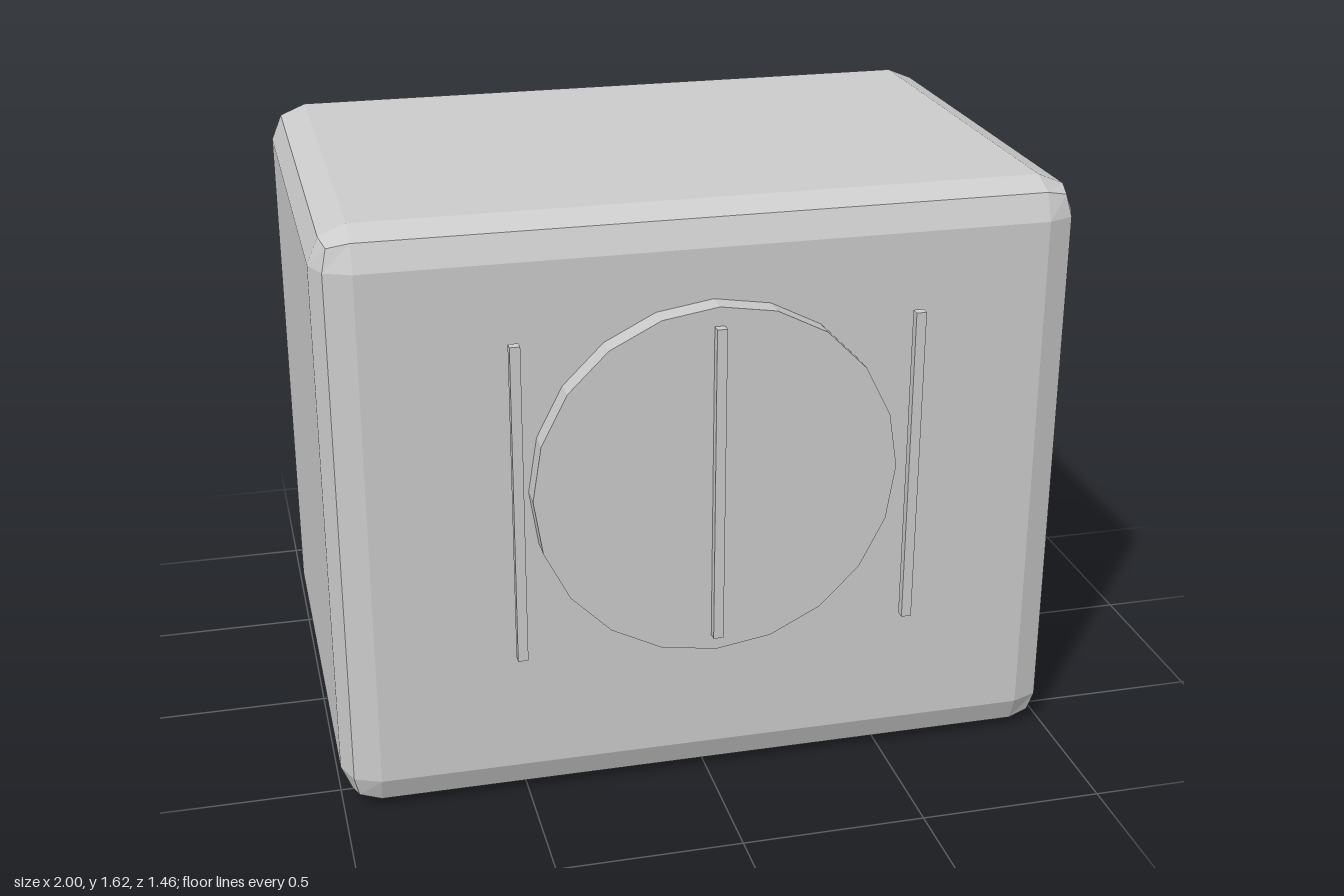
import * as THREE from 'three';
import { RoundedBoxGeometry } from 'three/addons/geometries/RoundedBoxGeometry.js';

export function createModel() {
  const group = new THREE.Group();
  const material = new THREE.MeshStandardMaterial({ color: 0xcccccc, flatShading: true });

  function add(name, geometry, x, y, z) {
    const mesh = new THREE.Mesh(geometry, material);
    mesh.name = name;
    mesh.position.set(x, y, z);
    group.add(mesh);
    return mesh;
  }

  // Main block with two-facet rounded edges
  const height = 1.625, back = -0.73, front = 0.643;
  add('body', new RoundedBoxGeometry(2, height, front - back, 1, 0.1),
    0, height / 2, (front + back) / 2);

  // Shallow 20-sided disc on the front face
  const discFront = 0.705, discY = 0.905;
  const disc = add('frontDisc', new THREE.CylinderGeometry(0.485, 0.485, discFront - front, 20),
    0, discY, (discFront + front) / 2);
  disc.rotation.x = Math.PI / 2;

  // Three slim upright bars in front of the disc plane
  const bar = new THREE.BoxGeometry(0.027, 0.873, 0.025);
  for (const [name, x] of [['rightBar', -0.525], ['centreBar', 0], ['leftBar', 0.525]]) {
    add(name, bar, x, discY - 0.003, discFront + 0.0125);
  }

  return group;
}
